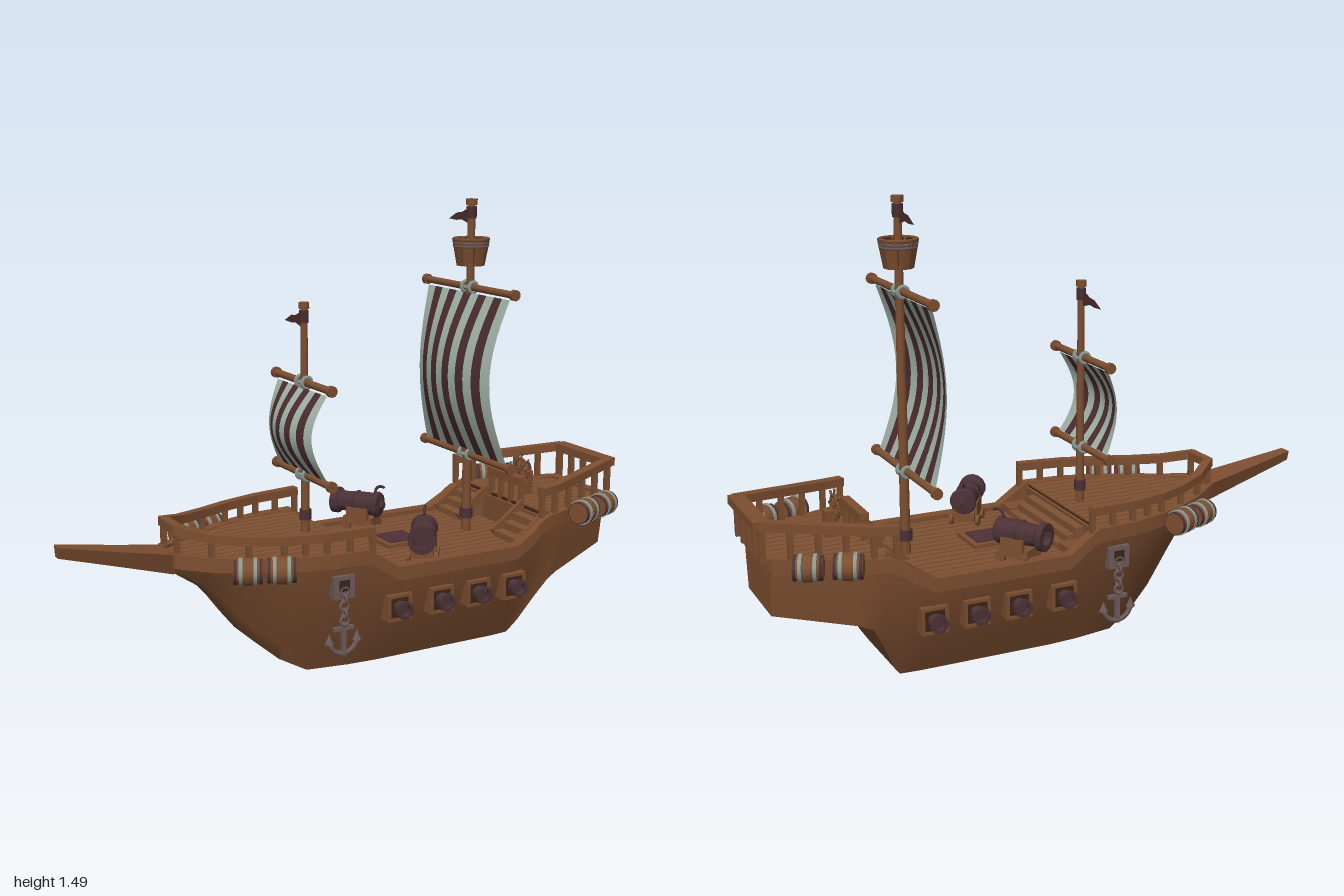
import * as THREE from 'three';
import { toCreasedNormals } from 'three/addons/utils/BufferGeometryUtils.js';

const mat = (name, color, side = THREE.FrontSide) => {
  const m = new THREE.MeshStandardMaterial({ color, side });
  m.name = name;
  return m;
};

export function createModel() {
  const wood = mat('hull wood', 0x7c4e30), plank = mat('deck wood', 0x7f5234), dark = mat('dark seam', 0x3a2519, THREE.DoubleSide);
  const iron = mat('cannon iron', 0x4b3136), steel = mat('anchor steel', 0x6e5a59), rope = mat('rope', 0x8b9891);
  const cloth = mat('pale cloth', 0xa3b4a9, THREE.DoubleSide), red = mat('dark red cloth', 0x4c2c2f, THREE.DoubleSide);
  const ship = new THREE.Group();
  ship.name = 'sailingShip';
  const V = (x, y, z) => new THREE.Vector3(x, y, z);

  const add = (name, geo, m, x = 0, y = 0, z = 0, parent = ship) => {
    const mesh = new THREE.Mesh(geo, m);
    mesh.name = name;
    mesh.position.set(x, y, z);
    parent.add(mesh);
    return mesh;
  };
  const box = (name, m, w, h, d, x, y, z, parent) => add(name, new THREE.BoxGeometry(w, h, d), m, x, y, z, parent);
  const cyl = (name, m, r1, r2, h, x, y, z, parent, n = 12) => add(name, new THREE.CylinderGeometry(r1, r2, h, n), m, x, y, z, parent);
  const group = (name, x, y, z, parent = ship) => {
    const g = new THREE.Group();
    g.name = name;
    g.position.set(x, y, z);
    parent.add(g);
    return g;
  };
  // square beam between two points
  const beam = (name, a, b, w, h) => {
    const mesh = box(name, wood, w, h, a.distanceTo(b) + w * 0.4, 0, 0, 0);
    mesh.position.copy(a).add(b).multiplyScalar(0.5);
    mesh.lookAt(b);
  };
  // skin over closed rings of [x, y, z] ordered along +x
  const loft = (rings, crease = 0.5) => {
    const n = rings[0].length, idx = [], last = (rings.length - 1) * n;
    for (let i = 0; i < rings.length - 1; i++) for (let j = 0; j < n; j++) {
      const a = i * n + j, b = i * n + (j + 1) % n;
      idx.push(a, a + n, b + n, a, b + n, b);
    }
    for (let j = 1; j < n - 1; j++) idx.push(0, j, j + 1, last, last + j + 1, last + j);
    const g = new THREE.BufferGeometry();
    g.setAttribute('position', new THREE.Float32BufferAttribute(rings.flat(2), 3));
    g.setIndex(idx);
    return toCreasedNormals(g, crease);
  };

  // hull stations: x, gunwale y, gunwale half width, keel y, keel half width, deck y
  const st = [
    [-0.65, 0.44, 0.06, 0.38, 0.03, 0.42], [-0.55, 0.432, 0.135, 0.312, 0.04, 0.42], [-0.5, 0.431, 0.164, 0.256, 0.048, 0.42],
    [-0.45, 0.43, 0.19, 0.19, 0.06, 0.42], [-0.39, 0.43, 0.218, 0.117, 0.075, 0.42], [-0.31, 0.43, 0.248, 0.048, 0.096, 0.42],
    [-0.22, 0.43, 0.272, 0, 0.115, 0.42], [-0.08, 0.43, 0.285, 0, 0.138, 0.42], [-0.08, 0.43, 0.285, 0, 0.138, 0.335],
    [0.02, 0.36, 0.288, 0, 0.145, 0.335], [0.48, 0.36, 0.288, 0, 0.145, 0.335], [0.55, 0.4, 0.284, 0, 0.14, 0.335],
    [0.58, 0.425, 0.279, 0.045, 0.16, 0.335], [0.62, 0.44, 0.27, 0.13, 0.195, 0.335], [0.62, 0.44, 0.27, 0.13, 0.195, 0.43],
    [0.66, 0.44, 0.258, 0.2, 0.222, 0.43], [0.7, 0.441, 0.243, 0.218, 0.214, 0.43], [0.95, 0.45, 0.15, 0.265, 0.128, 0.435],
  ];
  add('hull', loft(st.map(([x, yt, wt, yb, wb, yd]) => {
    const half = [];
    for (let k = 0; k <= 7; k++) {
      const t = k / 7, bulge = 0.5 * t + 0.5 * Math.sin(t * Math.PI / 2);
      half.push([x, yb + (yt - yb) * t, wb + (wt - wb) * bulge]);
    }
    half.push([x, yt, wt - 0.03], [x, yd, wt - 0.03]);
    return [...half, ...half.map(([a, b, c]) => [a, b, -c]).reverse()];
  }), 0.9), wood);
  const halfWidth = (x) => {
    const i = Math.max(1, st.findIndex((s) => s[0] >= x));
    const a = st[i - 1], b = st[i];
    return a[2] + (b[2] - a[2]) * (x - a[0]) / (b[0] - a[0] || 1);
  };
  add('bowsprit', loft([[-1, 0.47, 0.505, 0.022], [-0.8, 0.415, 0.468, 0.045], [-0.64, 0.37, 0.44, 0.062]].map(([x, b, t, w]) =>
    [[x, b, w * 0.6], [x, t, w], [x, t, -w], [x, b, -w * 0.6]])), wood);

  // gunwale strake on both sides
  for (const s of [1, -1]) {
    add('gunwale', loft(st.map(([x, y, w]) => {
      const r = [[x, y - 0.042, w + 0.007], [x, y + 0.004, w + 0.007], [x, y + 0.004, w - 0.034], [x, y - 0.042, w - 0.034]];
      return s > 0 ? r : r.map(([a, b, c]) => [a, b, -c]).reverse();
    }), 0.3), wood);
  }
  box('sternBeam', wood, 0.03, 0.04, 0.3, 0.945, 0.435, 0);

  // planked decks, each plank trimmed to the hull outline
  const deck = (name, x0, x1, y) => {
    const xs = Array.from({ length: 25 }, (_, i) => x0 + (x1 - x0) * i / 24);
    const strip = (z0, z1, lo, hi) => loft(xs.map((x) => {
      const w = Math.max(0.01, halfWidth(x) - 0.03);
      const a = Math.min(w, Math.max(-w, z0)), b = Math.min(w, Math.max(-w, z1));
      return [[x, lo, b], [x, hi, b], [x, hi, a], [x, lo, a]];
    }));
    add(name + 'Seams', strip(-1, 1, y - 0.01, y), dark);
    for (let z = -0.252; z < 0.26; z += 0.036) add(name + 'Plank', strip(z - 0.014, z + 0.014, y, y + 0.006), plank);
  };
  deck('foredeck', -0.64, -0.09, 0.426);
  deck('mainDeck', -0.02, 0.61, 0.342);
  deck('quarterDeck', 0.63, 0.945, 0.44);

  // stairs
  for (let i = 0; i < 3; i++) {
    box('foreStep', plank, 0.03, 0.07 - i * 0.022, 0.37, -0.065 + i * 0.032, 0.375 - i * 0.011, 0);
    for (const s of [1, -1]) box('quarterStep', plank, 0.036, 0.03 + i * 0.026, 0.13, 0.525 + i * 0.036, 0.355 + i * 0.013, s * 0.18);
  }
  for (const s of [1, -1]) {
    box('foreStairBlock', wood, 0.085, 0.035, 0.07, -0.03, 0.355, s * 0.222);
    for (const z of [0.11, 0.25]) beam('stairStringer', V(0.51, 0.36, s * z), V(0.63, 0.445, s * z), 0.014, 0.035);
  }

  // railings with balusters
  const railing = (pts, base, gap, w = 0.03) => pts.slice(1).forEach((b, i) => {
    const a = pts[i], n = Math.max(1, Math.round(a.distanceTo(b) / gap));
    beam('rail', a, b, w, 0.028);
    for (let k = 0; k <= n; k++) {
      const p = a.clone().lerp(b, k / n);
      box('baluster', wood, 0.017, p.y - base, 0.017, p.x, (p.y + base) / 2, p.z);
    }
  });
  for (const s of [1, -1]) {
    railing([[-0.635, 0.52, 0.055], [-0.55, 0.497, 0.125], [-0.45, 0.489, 0.18], [-0.35, 0.488, 0.224], [-0.22, 0.489, 0.26], [-0.065, 0.492, 0.274]]
      .map(([x, y, z]) => V(x, y, s * z)), 0.42, 0.085);
    railing([[0.595, 0.53, 0.265], [0.66, 0.532, 0.25], [0.97, 0.56, 0.14]].map(([x, y, z]) => V(x, y, s * z)), 0.44, 0.085, 0.034);
  }
  railing([V(-0.635, 0.52, 0.055), V(-0.635, 0.52, -0.055)], 0.42, 0.1);
  railing([V(0.972, 0.56, 0.137), V(0.972, 0.56, -0.137)], 0.44, 0.07, 0.05);
  railing([V(0.635, 0.52, 0.09), V(0.635, 0.52, -0.09)], 0.43, 0.06);

  // hatch
  box('hatchFrame', wood, 0.145, 0.022, 0.145, 0.185, 0.35, 0);
  box('hatchCover', iron, 0.108, 0.006, 0.108, 0.185, 0.361, 0);

  // steering wheel
  const helm = group('helm', 0.71, 0.44, 0);
  box('helmStand', wood, 0.03, 0.09, 0.04, 0.01, 0.045, 0, helm);
  add('helmRim', new THREE.TorusGeometry(0.038, 0.006, 6, 16), wood, -0.012, 0.095, 0, helm).rotation.y = Math.PI / 2;
  for (let i = 0; i < 4; i++) cyl('helmSpoke', wood, 0.004, 0.004, 0.12, -0.012, 0.095, 0, helm, 6).rotation.x = i * Math.PI / 4;

  // mast with yards, striped sail and pennant
  const mast = (name, x, y0, y1, r, low, high, yard, half, belly, n) => {
    const g = group(name, x, 0, 0);
    cyl('mastPole', wood, r * 0.85, r * 1.1, y1 - y0, 0, (y0 + y1) / 2, 0, g);
    cyl('mastCollar', iron, r * 1.5, r * 1.5, 0.035, 0, y0 + 0.07, 0, g);
    cyl('mastCap', wood, r * 1.3, r * 1.3, 0.02, 0, y1 - 0.01, 0, g);
    cyl('pennantBand', red, r * 1.15, r * 1.15, 0.04, 0, y1 - 0.045, 0, g);
    for (const y of [low, high]) {
      cyl('yard', wood, 0.012, 0.012, yard * 2, -0.005, y, 0, g).rotation.x = Math.PI / 2;
      for (const s of [1, -1]) {
        cyl('yardEnd', wood, 0.018, 0.018, 0.016, -0.005, y, s * (yard - 0.008), g).rotation.x = Math.PI / 2;
        add('yardLashing', new THREE.TorusGeometry(0.017, 0.007, 6, 12), rope, -0.003, y, s * 0.022, g);
      }
      add('mastLashing', new THREE.TorusGeometry(0.019, 0.006, 6, 12), rope, 0, y, 0, g).rotation.x = Math.PI / 2;
    }
    for (let i = 0; i < n; i++) {
      const geo = new THREE.PlaneGeometry(1, 1, 2, 14), p = geo.attributes.position;
      for (let k = 0; k < p.count; k++) {
        const u = 2 * (i + p.getX(k) + 0.5) / n - 1, v = p.getY(k) + 0.5, b = Math.sin(Math.PI * v);
        p.setXYZ(k, -0.01 - belly * b * (1 - 0.4 * u * u), low + 0.012 + (high - low - 0.03) * v, half * u * (1 - 0.12 * b));
      }
      geo.computeVertexNormals();
      add('sailStripe', geo, i % 2 ? red : cloth, 0, 0, 0, g);
    }
    const flag = new THREE.Shape([[0, 0.022], [0.03, 0.024], [0.06, 0.012], [0.09, 0.009], [0.137, -0.014], [0.09, -0.016], [0.06, -0.012], [0.03, -0.02], [0, -0.022]]
      .map(([a, b]) => new THREE.Vector2(a, b)));
    add('pennant', new THREE.ShapeGeometry(flag), red, 0, y1 - 0.06, 0, g).rotation.y = Math.PI / 2;
    return g;
  };
  mast('foreMast', -0.162, 0.42, 1.185, 0.013, 0.625, 0.93, 0.2, 0.172, 0.074, 9);
  const main = mast('mainMast', 0.467, 0.34, 1.49, 0.015, 0.622, 1.197, 0.272, 0.245, 0.088, 11);

  // crow's nest
  const nest = group('lookoutNest', 0, 1.315, 0, main);
  cyl('nestFloor', wood, 0.042, 0.04, 0.012, 0, -0.04, 0, nest);
  add('nestInside', new THREE.CylinderGeometry(0.053, 0.041, 0.085, 8, 1, true), dark, 0, 0, 0, nest);
  for (let i = 0; i < 8; i++) {
    const slat = group('nestSlat', 0, 0, 0, nest);
    slat.rotation.y = i * Math.PI / 4;
    const s = add('slat', new THREE.CylinderGeometry(0.029, 0.022, 0.092, 4, 1).rotateY(Math.PI / 4), wood, 0.049, 0, 0, slat);
    s.scale.x = 0.2;
    s.rotation.z = -0.165;
  }
  for (const [y, r, m] of [[0.042, 0.057, wood], [0.03, 0.056, steel], [0.02, 0.055, steel]]) {
    add('nestHoop', new THREE.TorusGeometry(r, 0.006, 6, 20), m, 0, y, 0, nest).rotation.x = Math.PI / 2;
  }

  const lathe = (pts, n = 14) => toCreasedNormals(new THREE.LatheGeometry(pts.map(([r, y]) => new THREE.Vector2(r, y)), n), 0.5);
  const barrelGeo = lathe([[0, -0.045], [0.035, -0.045], [0.041, -0.02], [0.043, 0], [0.041, 0.02], [0.035, 0.045], [0, 0.045]]);
  const gunGeo = lathe([[0, -0.1], [0.012, -0.095], [0.012, -0.085], [0.036, -0.08], [0.04, -0.07], [0.035, -0.06], [0.034, 0], [0.038, 0.005],
    [0.032, 0.015], [0.03, 0.065], [0.04, 0.075], [0.04, 0.095], [0.025, 0.095], [0.025, 0.07], [0, 0.07]]);

  for (const s of [1, -1]) {
    // slung barrels
    for (const [x, y, z, a] of [[-0.485, 0.415, 0.248, -0.45], [-0.39, 0.415, 0.287, -0.45], [0.755, 0.447, 0.29, 0.42], [0.865, 0.447, 0.25, 0.42]]) {
      const g = group('barrel', x, y, s * z);
      g.rotation.set(0, s * a, Math.PI / 2, 'YXZ');
      add('barrelBody', barrelGeo, wood, 0, 0, 0, g);
      for (const d of [1, -1]) {
        cyl('barrelRope', rope, 0.0435, 0.0435, 0.011, 0, d * 0.022, 0, g, 16);
        cyl('barrelHoop', iron, 0.0385, 0.0385, 0.009, 0, d * 0.039, 0, g, 16);
      }
    }
    // gun ports
    for (const x of [0.035, 0.195, 0.338, 0.48]) {
      const g = group('gunPort', x, 0.22, s * 0.25);
      if (s < 0) g.rotation.y = Math.PI;
      for (const d of [1, -1]) {
        box('portFrameSide', wood, 0.01, 0.088, 0.05, d * 0.039, 0, 0.005, g);
        box('portFrameBar', wood, 0.088, 0.01, 0.05, 0, d * 0.039, 0.005, g);
      }
      box('portOpening', dark, 0.07, 0.07, 0.04, 0, 0, 0.004, g);
      const gun = add('portGun', gunGeo, iron, 0, 0, -0.002, g);
      gun.rotation.x = Math.PI / 2;
      gun.scale.set(0.75, 0.7, 0.75);
    }
    // deck cannons
    const c = group('deckCannon', 0.165, 0.345, s * 0.205);
    c.rotation.y = Math.atan2(-0.57, s * 0.82);
    box('carriage', wood, 0.07, 0.03, 0.11, 0, 0.03, 0, c);
    for (const d of [1, -1]) {
      box('carriageCheek', wood, 0.014, 0.05, 0.08, d * 0.036, 0.055, 0, c);
      for (const z of [-0.038, 0.038]) cyl('carriageWheel', wood, 0.018, 0.018, 0.012, d * 0.045, 0.018, z, c).rotation.z = Math.PI / 2;
    }
    const gun = add('cannonBarrel', gunGeo, iron, 0, 0.09, 0.01, c);
    gun.rotation.x = Math.PI / 2;
    gun.scale.set(1.15, 1.0, 1.15);
    add('cannonFuse', new THREE.TorusGeometry(0.022, 0.005, 6, 10, Math.PI), iron, 0, 0.135, -0.075, c).rotation.set(0, Math.PI / 2, 0.9);
    // anchor with chain
    const a = group('anchor', -0.165, 0, s * 0.264);
    box('anchorPlate', steel, 0.075, 0.075, 0.03, 0, 0.32, s * -0.006, a);
    box('anchorPlateOpening', dark, 0.036, 0.036, 0.006, 0, 0.325, s * 0.008, a);
    for (let i = 0; i < 5; i++) {
      const link = add('chainLink', new THREE.TorusGeometry(0.015, 0.005, 6, 12), steel, 0, 0.305 - i * 0.024, s * 0.008, a);
      link.rotation.y = i % 2 ? Math.PI / 2 : 0;
    }
    box('anchorShank', steel, 0.014, 0.11, 0.014, 0, 0.146, 0, a);
    box('anchorStock', steel, 0.07, 0.012, 0.014, 0, 0.182, 0, a);
    add('anchorArms', new THREE.TorusGeometry(0.05, 0.009, 6, 14, Math.PI), steel, 0, 0.148, 0, a).rotation.z = Math.PI;
    for (const d of [1, -1]) add('anchorFluke', new THREE.ConeGeometry(0.018, 0.035, 4), steel, d * 0.05, 0.155, 0, a);
  }
  return ship;
}
